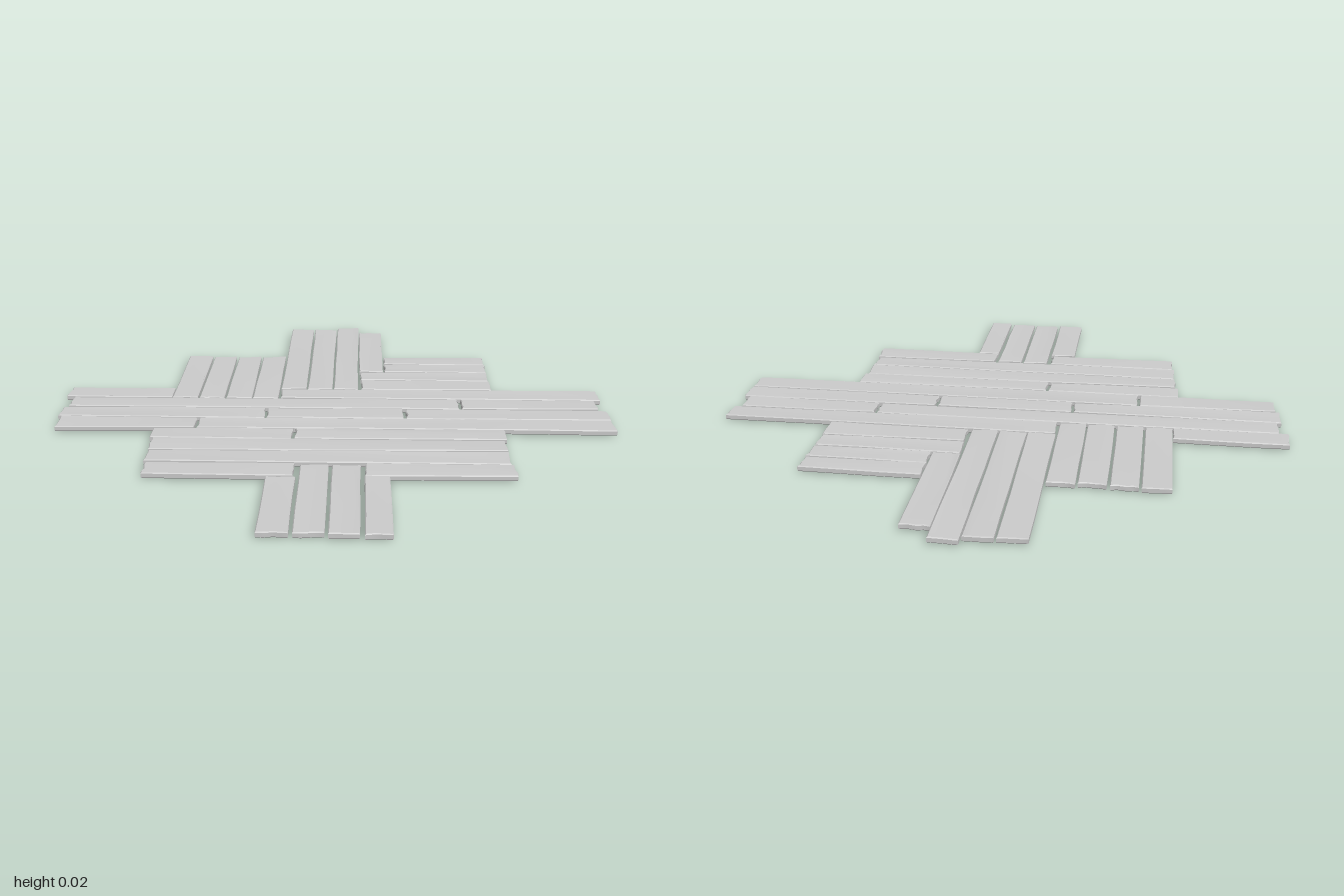
import * as THREE from 'three';
import { toCreasedNormals } from 'three/addons/utils/BufferGeometryUtils.js';

const THICK = 0.019, BEVEL = 0.003;

// small seeded generator for worn edges
let seed = 7;
const rand = () => (seed = (seed * 16807) % 2147483647) / 2147483647;

// Floor sections; every plank is [x0, x1, z0, z1]
const SECTIONS = {
  backPlank: [
    [-0.196, -0.101, -0.975, -0.205], [-0.097, -0.002, -0.975, -0.205],
    [0, 0.093, -1, -0.205], [0.095, 0.19, -0.93, -0.412],
  ],
  backRightPlank: [
    [-0.592, -0.495, -0.593, -0.105], [-0.491, -0.398, -0.59, -0.105],
    [-0.393, -0.298, -0.588, -0.105], [-0.295, -0.2, -0.593, -0.105],
  ],
  backLeftPlank: [
    [0.193, 0.595, -0.588, -0.503], [0.193, 0.595, -0.497, -0.41],
    [0.1, 0.592, -0.405, -0.314], [0.102, 0.592, -0.309, -0.207],
  ],
  middlePlank: [
    [-0.982, -0.588, -0.2, -0.105], [-0.195, 0.98, -0.2, -0.105],
    [-0.952, 0.457, -0.1, -0.008], [0.463, 0.955, -0.1, -0.008],
    [-0.967, -0.236, 0, 0.093], [-0.231, 0.256, 0, 0.093], [0.262, 0.98, 0, 0.093],
    [-0.957, -0.469, 0.097, 0.195], [-0.464, 0.98, 0.097, 0.195],
  ],
  frontMiddlePlank: [
    [-0.612, -0.128, 0.198, 0.287], [-0.122, 0.595, 0.198, 0.287],
    [-0.6, 0.587, 0.292, 0.387], [-0.595, 0.587, 0.393, 0.488],
    [-0.587, -0.105, 0.495, 0.59], [0.115, 0.595, 0.495, 0.59],
  ],
  frontPlank: [
    [-0.196, -0.1, 0.6, 0.988], [-0.091, 0.003, 0.503, 0.985],
    [0.01, 0.103, 0.503, 0.987], [0.114, 0.196, 0.59, 0.997],
  ],
};

// Worn board lying along x, centred on the origin, bottom near y = 0
function plankGeometry(length, width) {
  const L = length / 2, W = width / 2, pts = [];
  const side = Math.max(3, Math.round(length / 0.15));
  // walks one long edge, then the ragged end that follows it
  const addHalf = (s) => {
    for (let i = 0; i <= side; i++) {
      const t = i / side, corner = i === 0 || i === side;
      const x = (-L + length * t) * s;
      const inset = rand() * 0.003;
      pts.push(new THREE.Vector2(corner ? x * (1 - 0.004 * rand() / L) : x, -s * (W - inset)));
    }
    for (const v of [-0.45, 0.15, 0.6]) {
      pts.push(new THREE.Vector2(s * (L - rand() * 0.007), s * v * W));
    }
  };
  addHalf(1);
  addHalf(-1);
  const geo = new THREE.ExtrudeGeometry(new THREE.Shape(pts), {
    depth: THICK - 2 * BEVEL, steps: 1, bevelEnabled: true, bevelSegments: 1,
    bevelSize: BEVEL, bevelThickness: BEVEL, bevelOffset: -BEVEL,
  });
  geo.rotateX(-Math.PI / 2);
  geo.translate(0, BEVEL, 0);

  // slight twist and cupping of the board
  const p = geo.attributes.position;
  const twist = (rand() - 0.5) * 0.004, bow = (rand() - 0.5) * 0.003;
  for (let i = 0; i < p.count; i++) {
    const u = p.getX(i) / L, v = p.getZ(i) / W;
    p.setY(i, p.getY(i) + twist * u * v + bow * (u * u - 0.5));
  }
  return toCreasedNormals(geo, 0.5);
}

export function createModel() {
  const model = new THREE.Group();
  model.name = 'plankFloor';
  const wood = new THREE.MeshStandardMaterial({ color: 0xcccccc });

  for (const [name, planks] of Object.entries(SECTIONS)) {
    const section = new THREE.Group();
    section.name = name + 's';
    planks.forEach(([x0, x1, z0, z1], i) => {
      const w = x1 - x0, d = z1 - z0;
      const geo = plankGeometry(Math.max(w, d), Math.min(w, d));
      if (d > w) geo.rotateY(Math.PI / 2);
      const plank = new THREE.Mesh(geo, wood);
      plank.name = name + (i + 1);
      plank.position.set((x0 + x1) / 2, 0.003 + (rand() - 0.5) * 0.002, (z0 + z1) / 2);
      section.add(plank);
    });
    model.add(section);
  }

  // rest the lowest board on the ground
  model.position.y = -new THREE.Box3().setFromObject(model, true).min.y;
  return model;
}
